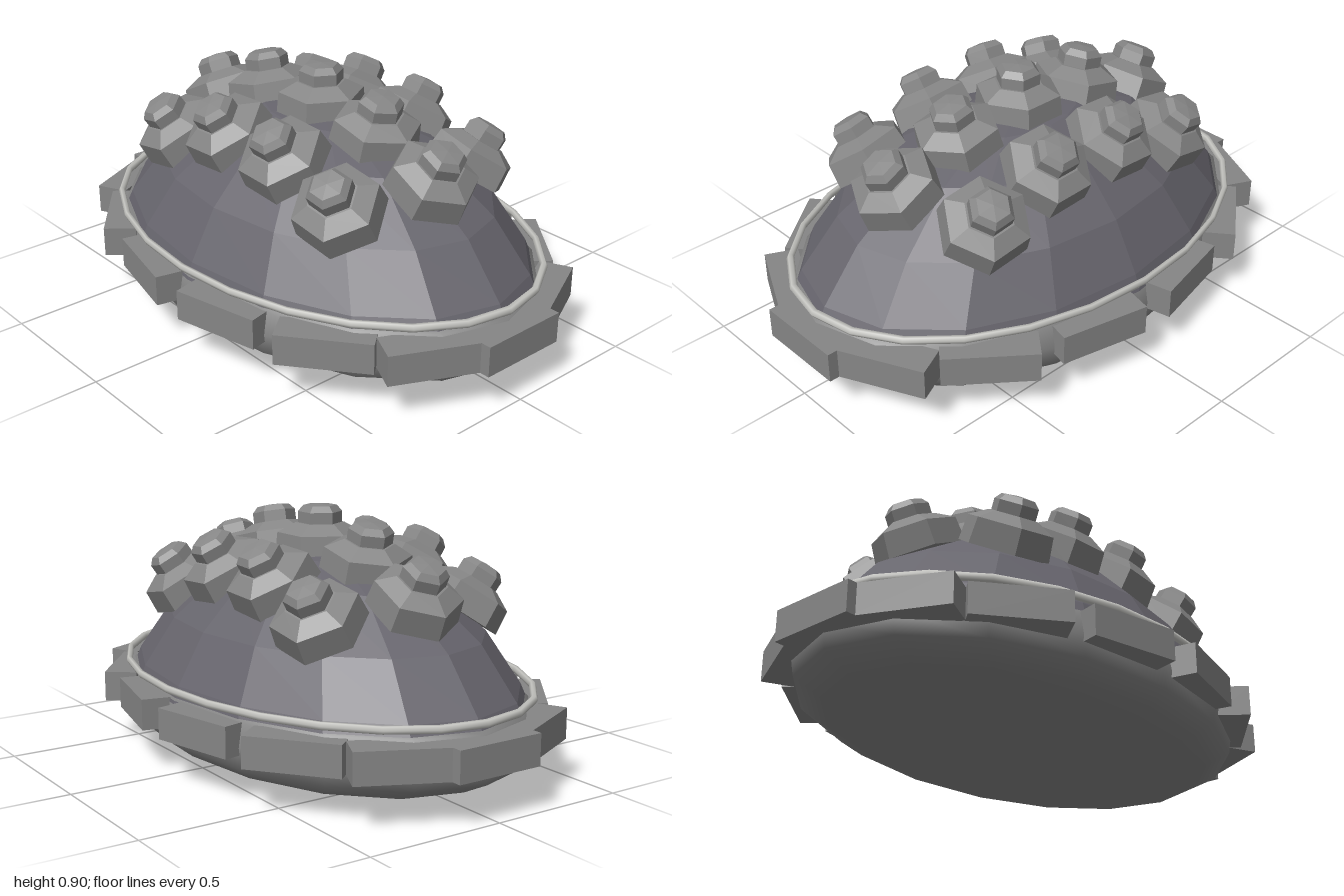
import * as THREE from 'three';

const grey = new THREE.MeshStandardMaterial({ color: 0x868686 });
grey.name = 'mid grey';
const slate = new THREE.MeshStandardMaterial({ color: 0x67656d });
slate.name = 'slate grey';
const pale = new THREE.MeshStandardMaterial({ color: 0xc4c4c0 });
pale.name = 'pale grey';

const lathe = (pts, sides) =>
  new THREE.LatheGeometry(pts.map(([r, y]) => new THREE.Vector2(r, y)), sides);

// Gives every face its own normal
function faceted(geometry) {
  const g = geometry.toNonIndexed();
  g.computeVertexNormals();
  return g;
}

function addMesh(parent, name, geometry, material) {
  const mesh = new THREE.Mesh(geometry, material);
  mesh.name = name;
  parent.add(mesh);
  return mesh;
}

export function createModel() {
  const model = new THREE.Group();
  model.name = 'ovalDome';

  // Smooth rounded underside
  const hull = lathe([[0, 0], [0.63, 0.004], [0.87, 0.05], [0.985, 0.105],
    [1, 0.18], [0.975, 0.27], [0.9, 0.29]], 16);
  hull.scale(0.62, 1, 0.95);
  addMesh(model, 'hull', hull, grey);

  // Faceted upper shell
  const dome = lathe([[1, 0.25], [0.965, 0.31], [0.8, 0.487], [0.54, 0.65],
    [0.27, 0.725], [0, 0.745]], 16);
  dome.scale(0.61, 1, 0.92);
  addMesh(model, 'dome', faceted(dome), slate);

  // Thin oval trim around the dome
  const trim = new THREE.TorusGeometry(1, 0.016, 6, 24);
  trim.rotateX(Math.PI / 2);
  trim.scale(0.63, 0.9, 0.928);
  addMesh(model, 'trim', trim, pale).position.y = 0.306;

  // Ring of armour blocks
  const blockGeometry = new THREE.BoxGeometry(0.33, 0.11, 0.12);
  const blockCount = 14;
  for (let i = 0; i < blockCount; i++) {
    const a = (i / blockCount) * Math.PI * 2;
    const block = addMesh(model, 'rimBlock', blockGeometry, grey);
    block.position.set(0.62 * Math.sin(a), 0.21, 0.94 * Math.cos(a));
    block.rotation.y = a;
  }

  // Hexagonal pods: body with sloped shoulder, then a bevelled cap
  const bodyGeometry = faceted(lathe([[0, 0], [0.163, 0], [0.154, 0.09],
    [0.088, 0.125], [0, 0.125]], 6));
  const capGeometry = faceted(lathe([[0.08, 0.12], [0.08, 0.165],
    [0.06, 0.187], [0, 0.192]], 6));
  const up = new THREE.Vector3(0, 1, 0);
  function addPod(x, y, z, leanX, leanZ) {
    const pod = new THREE.Group();
    pod.name = 'pod';
    addMesh(pod, 'podBody', bodyGeometry, grey);
    addMesh(pod, 'podCap', capGeometry, grey);
    pod.position.set(x, y, z);
    pod.quaternion.setFromUnitVectors(up, new THREE.Vector3(leanX, 1, leanZ).normalize());
    model.add(pod);
  }

  // Middle row of five, side rows of four
  addPod(0, 0.71, 0, 0, 0);
  for (const s of [-1, 1]) {
    addPod(0, 0.68, s * 0.275, 0, s * 0.23);
    addPod(0, 0.595, s * 0.54, 0, s * 0.51);
    for (const side of [-1, 1]) {
      addPod(side * 0.275, 0.63, s * 0.15, side * 0.62, s * 0.07);
      addPod(side * 0.285, 0.55, s * 0.435, side * 0.62, s * 0.22);
    }
  }
  return model;
}
